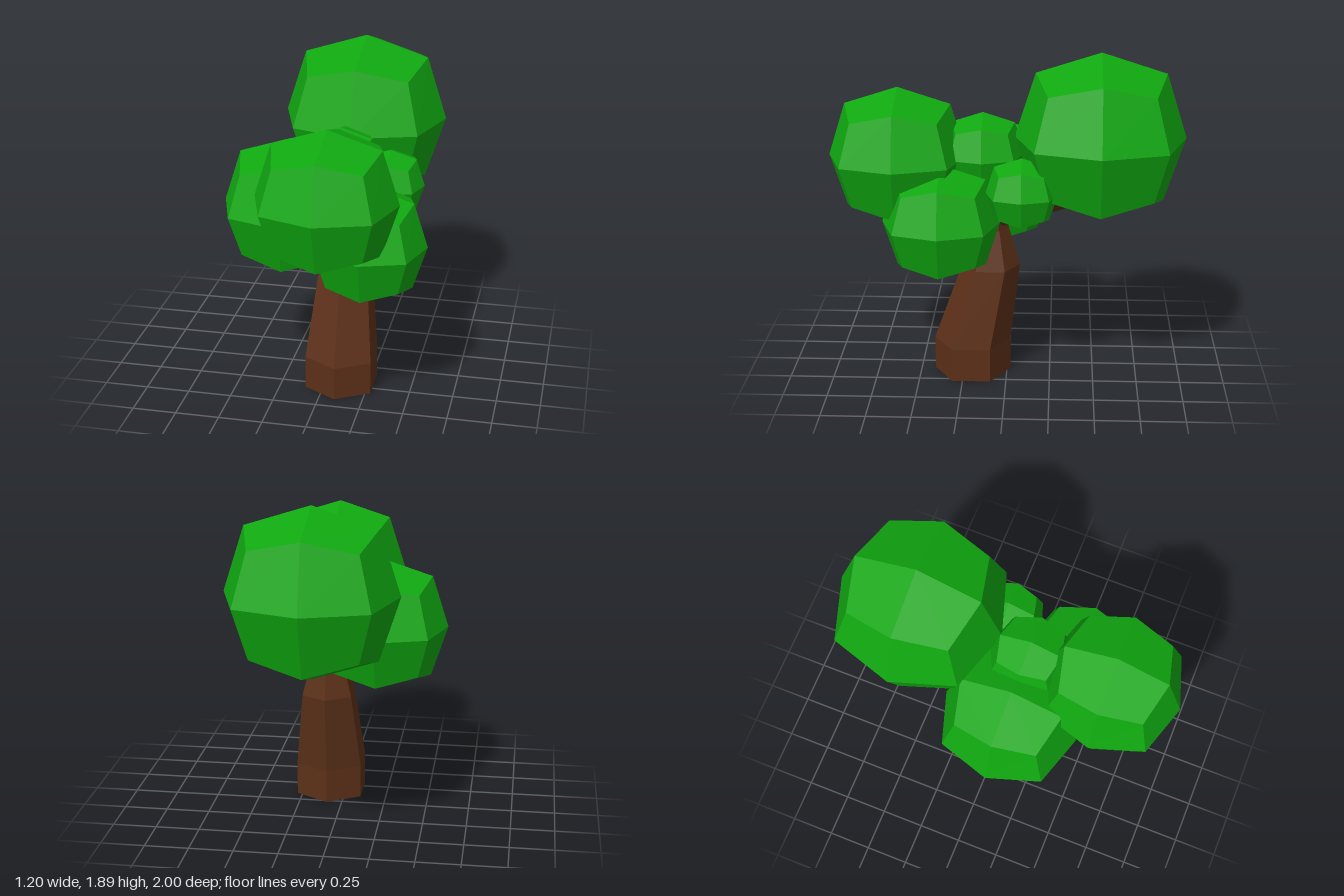
import * as THREE from 'three';

const leafMat = new THREE.MeshStandardMaterial({ color: 0x10a810, flatShading: true });
const barkMat = new THREE.MeshStandardMaterial({ color: 0x5c3018, flatShading: true });

// Faceted ball with 24 kite faces: a 2x2x2 box whose vertices are pulled in by type
function foliageGeometry() {
  const geo = new THREE.BoxGeometry(2, 2, 2, 2, 2, 2);
  const pos = geo.attributes.position;
  const pull = [0, 1, 0.758, 0.61]; // face centre, edge middle, corner
  const v = new THREE.Vector3();
  for (let i = 0; i < pos.count; i++) {
    v.fromBufferAttribute(pos, i).round();
    const kind = Math.abs(v.x) + Math.abs(v.y) + Math.abs(v.z);
    v.multiplyScalar(pull[kind]);
    pos.setXYZ(i, v.x, v.y, v.z);
  }
  geo.computeVertexNormals();
  return geo;
}

// Six-sided trunk through rings of [y, z, radius], listed from top to bottom
function trunkGeometry(rings) {
  const n = rings.length - 1;
  const geo = new THREE.CylinderGeometry(1, 1, 1, 6, n);
  const pos = geo.attributes.position;
  for (let i = 0; i < pos.count; i++) {
    const [y, z, r] = rings[Math.round((0.5 - pos.getY(i)) * n)];
    pos.setXYZ(i, pos.getX(i) * r, y, z + pos.getZ(i) * r);
  }
  geo.computeVertexNormals();
  return geo;
}

export function createModel() {
  const tree = new THREE.Group();
  tree.name = 'tree';
  const add = (name, geo, mat) => {
    const mesh = new THREE.Mesh(geo, mat);
    mesh.name = name;
    tree.add(mesh);
    return mesh;
  };

  // Leaning trunk
  const trunk = add('trunk', trunkGeometry([
    [1.15, 0.11, 0.08],
    [0.88, 0.09, 0.1],
    [0.655, 0.09, 0.165],
    [0.195, 0.2, 0.22],
    [0, 0.2, 0.22],
  ]), barkMat);
  trunk.position.x = 0.09;

  // Flattened branch reaching back into the largest ball
  const from = new THREE.Vector3(0.09, 0.94, 0.09);
  const to = new THREE.Vector3(0.09, 1.12, -0.5);
  const branchGeo = new THREE.CylinderGeometry(1, 1, from.distanceTo(to), 6);
  branchGeo.rotateY(Math.PI / 6); // ridges to the sides, flat underside
  branchGeo.scale(0.095, 1, 0.066);
  const branch = add('backBranch', branchGeo, barkMat);
  branch.position.copy(from).lerp(to, 0.5);
  branch.rotation.x = Math.atan2(to.z - from.z, to.y - from.y);

  // Balls of leaves: name, centre, radius
  const ball = foliageGeometry();
  const balls = [
    ['backFoliage', 0.09, 1.415, -0.52, 0.477],
    ['frontFoliage', 0.09, 1.3, 0.61, 0.39],
    ['rightFoliage', -0.21, 1.07, 0.13, 0.39],
    ['leftFoliage', 0.27, 0.967, 0.36, 0.328],
    ['topFoliage', 0.065, 1.31, 0.135, 0.235],
    ['smallLeftFoliage', 0.31, 1.15, -0.09, 0.2],
  ];
  for (const [name, x, y, z, r] of balls) {
    const mesh = add(name, ball, leafMat);
    mesh.position.set(x, y, z);
    mesh.scale.setScalar(r);
  }
  return tree;
}
